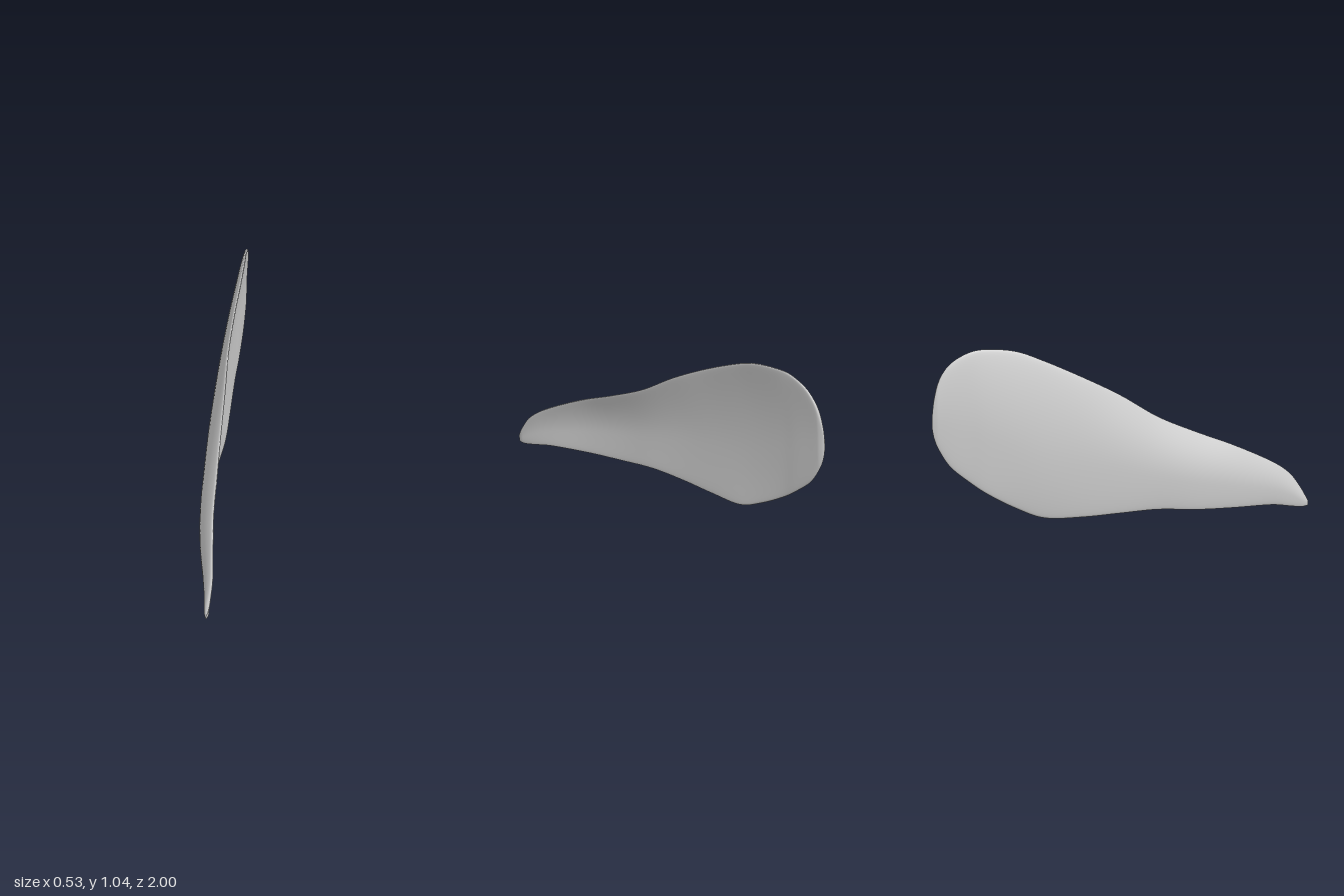
import * as THREE from 'three';

// Stations along the blade, tip to broad end:
// [z, bottom y, top y, x at bottom, x at belly, x at top]
const STATIONS = [
  [1.0, 0.012, 0.035, 0.250, 0.250, 0.253],
  [0.96, 0.008, 0.11, 0.240, 0.240, 0.254],
  [0.9, 0.02, 0.195, 0.220, 0.218, 0.247],
  [0.8, 0.042, 0.275, 0.180, 0.175, 0.213],
  [0.6, 0.06, 0.39, 0.092, 0.086, 0.146],
  [0.4, 0.077, 0.485, 0.022, 0.015, 0.093],
  [0.2, 0.1, 0.59, -0.030, -0.040, 0.040],
  [0.0, 0.1, 0.73, -0.080, -0.091, -0.008],
  [-0.2, 0.096, 0.85, -0.120, -0.135, -0.060],
  [-0.4, 0.105, 0.955, -0.152, -0.175, -0.098],
  [-0.55, 0.17, 1.02, -0.182, -0.200, -0.122],
  [-0.7, 0.26, 1.046, -0.212, -0.220, -0.155],
  [-0.8, 0.335, 1.04, -0.225, -0.230, -0.183],
  [-0.9, 0.425, 0.99, -0.240, -0.243, -0.211],
  [-0.96, 0.52, 0.91, -0.250, -0.251, -0.232],
  [-0.988, 0.59, 0.81, -0.256, -0.256, -0.248],
  [-1.0, 0.655, 0.71, -0.260, -0.260, -0.258],
];
const HALF_THICKNESS = 0.015;

const smoothCurve = (points) => new THREE.CatmullRomCurve3(points, false, 'catmullrom', 0.5);

// Sideways bow of the blade: belly at 40% of its height, top curling outward
function bow(t, bottom, belly, top) {
  return t < 0.4
    ? belly + (bottom - belly) * (1 - t / 0.4) ** 2
    : belly + (top - belly) * ((t - 0.4) / 0.6) ** 2;
}

function bladeGeometry(slices = 96, sides = 48) {
  const outline = smoothCurve(STATIONS.map((s) => new THREE.Vector3(s[0], s[1], s[2])));
  const bend = smoothCurve(STATIONS.map((s) => new THREE.Vector3(s[3], s[4], s[5])));
  const positions = [];
  const indices = [];
  for (let i = 0; i <= slices; i++) {
    const o = outline.getPoint(i / slices);
    const b = bend.getPoint(i / slices);
    // Thickness rounds off towards both ends
    const toEnd = Math.max(0, 1 - Math.abs(o.x));
    const half = HALF_THICKNESS * Math.sqrt(Math.min(1, toEnd / 0.03));
    for (let j = 0; j < sides; j++) {
      const a = (j / sides) * Math.PI * 2;
      const t = 0.5 + 0.5 * Math.cos(a);
      const s = Math.sin(a);
      const offset = half * Math.sign(s) * Math.abs(s) ** 0.55;
      positions.push(bow(t, b.x, b.y, b.z) + offset, THREE.MathUtils.lerp(o.y, o.z, t), o.x);
      if (i < slices) {
        const k = (j + 1) % sides;
        const p = i * sides;
        const q = p + sides;
        indices.push(p + j, p + k, q + j, p + k, q + k, q + j);
      }
    }
  }
  const geometry = new THREE.BufferGeometry();
  geometry.setAttribute('position', new THREE.Float32BufferAttribute(positions, 3));
  geometry.setIndex(indices);
  geometry.computeVertexNormals();
  return geometry;
}

export function createModel() {
  const group = new THREE.Group();
  group.name = 'curvedBlade';
  const grey = new THREE.MeshStandardMaterial({ color: 0xcccccc });
  grey.name = 'lightGrey';
  const blade = new THREE.Mesh(bladeGeometry(), grey);
  blade.name = 'blade';
  group.add(blade);
  return group;
}
